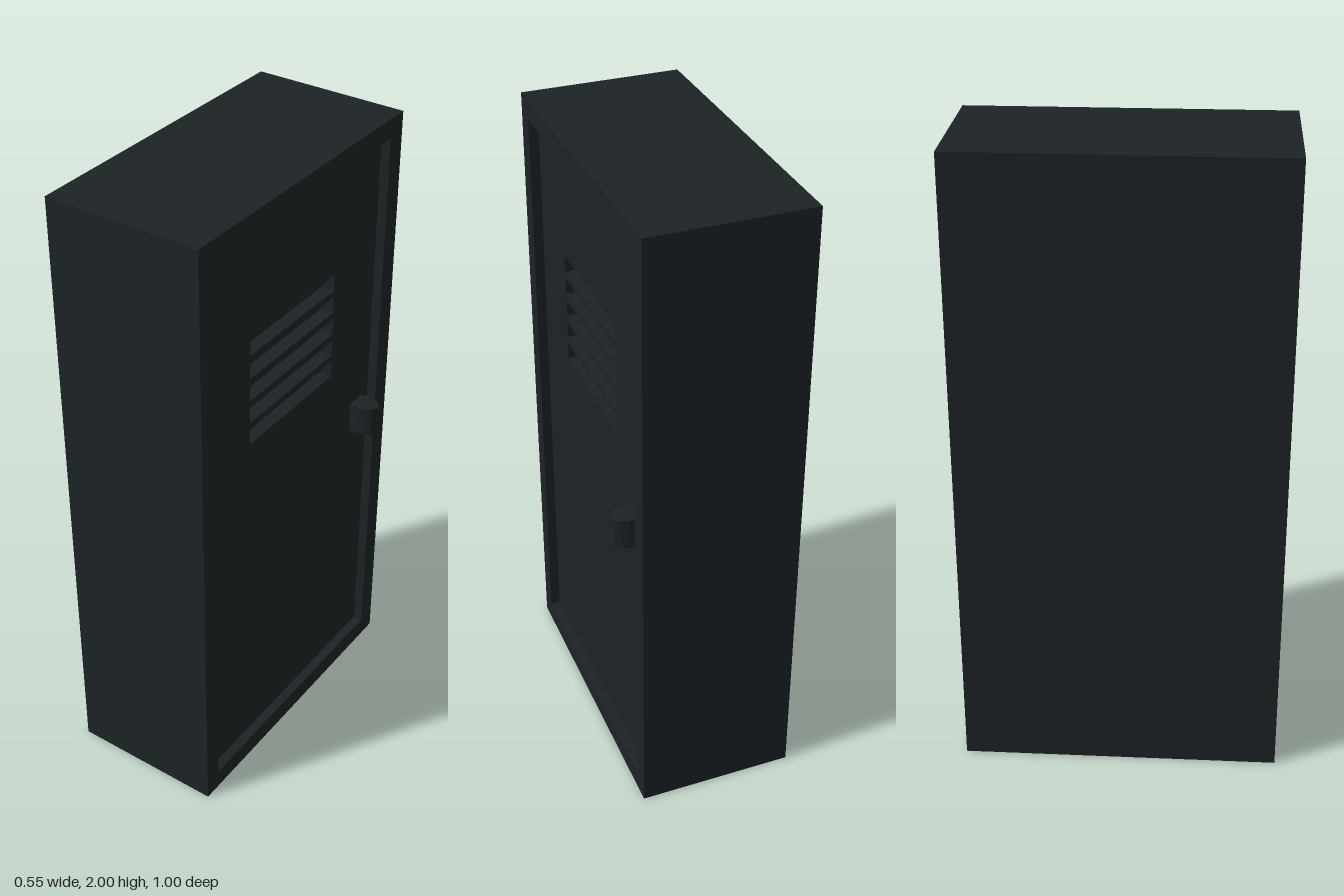
import * as THREE from 'three';

const BACK = -0.275, INNER = 0.15, DOOR = 0.192, FRONT = 0.223;

export function createModel() {
  const locker = new THREE.Group();
  locker.name = 'locker';
  const metal = new THREE.MeshStandardMaterial({ color: 0x1d2225 });

  const add = (name, geometry) => {
    const mesh = new THREE.Mesh(geometry, metal);
    mesh.name = name;
    locker.add(mesh);
    return mesh;
  };

  // Rectangle outline on the door plane (u runs towards -z)
  const rect = (Type, u0, u1, y0, y1) => new Type([
    [u0, y0], [u1, y0], [u1, y1], [u0, y1],
  ].map(([u, y]) => new THREE.Vector2(u, y)));

  // Plate with openings, standing across the +x side between x0 and x1
  const plate = (shape, x0, x1) =>
    new THREE.ExtrudeGeometry(shape, { depth: x1 - x0, bevelEnabled: false })
      .rotateY(Math.PI / 2).translate(x0, 0, 0);

  // Cabinet body
  add('cabinet', new THREE.BoxGeometry(INNER - BACK, 2, 1))
    .position.set((BACK + INNER) / 2, 1, 0);

  // Door panel with five vent slots
  const door = rect(THREE.Shape, -0.5, 0.5, 0, 2);
  for (let i = 0; i < 5; i++) {
    const y = 1.228 + i * 0.076;
    door.holes.push(rect(THREE.Path, -0.227, 0.207, y, y + 0.053));
  }
  add('door', plate(door, INNER, DOOR));

  // Raised frame around the door
  const frame = rect(THREE.Shape, -0.5, 0.5, 0, 2);
  frame.holes.push(rect(THREE.Path, -0.44, 0.437, 0.066, 1.937));
  add('doorFrame', plate(frame, DOOR, FRONT));

  // Handle: faceted half-round bar, outline in x and -z
  const outline = [
    [DOOR - 0.005, 0.333], [0.227, 0.333], [0.249, 0.338], [0.266, 0.35],
    [0.273, 0.367], [0.266, 0.385], [0.249, 0.397], [0.227, 0.402], [DOOR - 0.005, 0.402],
  ].map(([x, u]) => new THREE.Vector2(x, u));
  const handle = new THREE.ExtrudeGeometry(new THREE.Shape(outline), { depth: 0.1, bevelEnabled: false });
  add('handle', handle.rotateX(-Math.PI / 2).translate(0, 0.952, 0));

  return locker;
}
